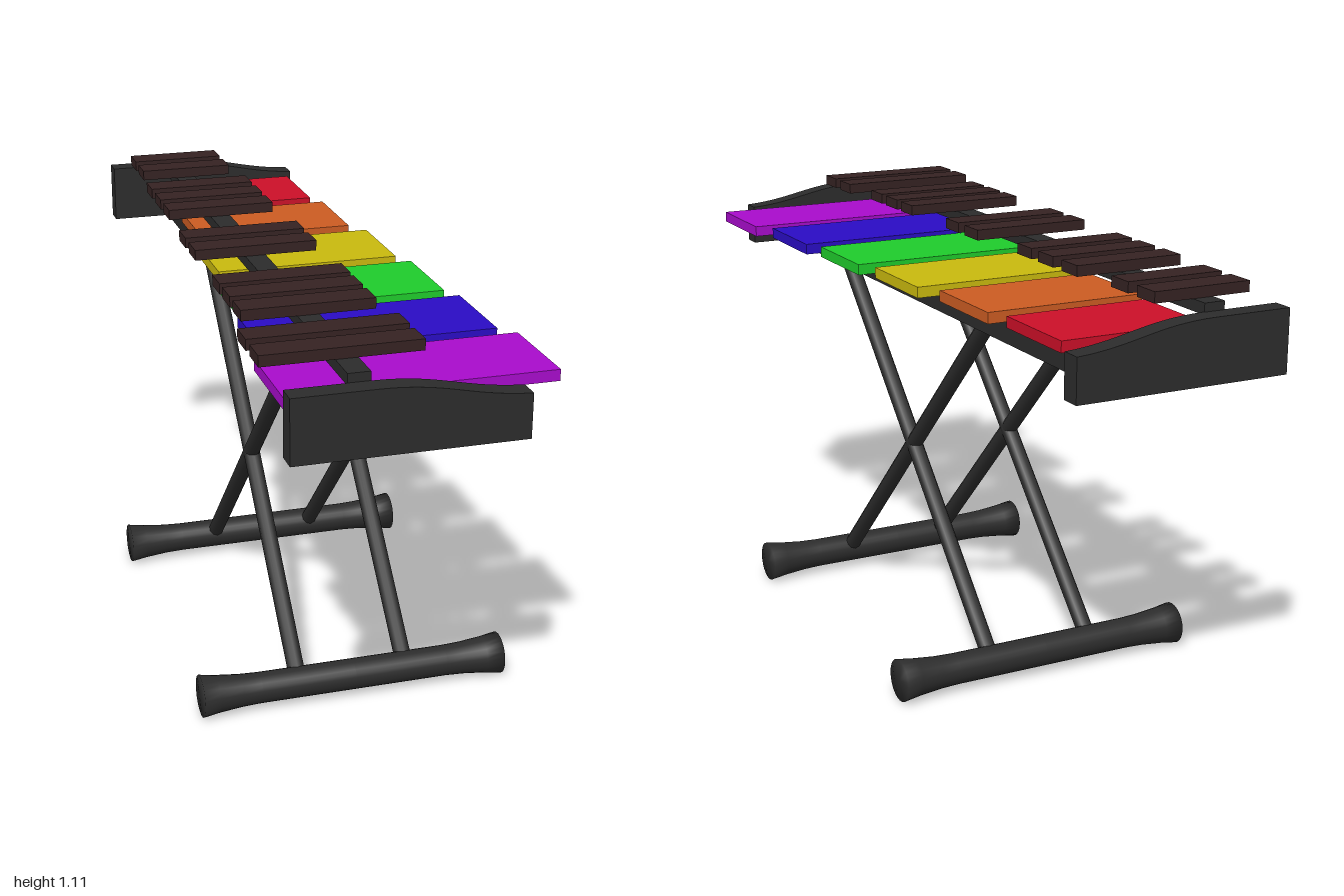
import * as THREE from 'three';

const mat = (name, color) => {
  const m = new THREE.MeshStandardMaterial({ color, side: THREE.DoubleSide });
  m.name = name;
  return m;
};

export function createModel() {
  const model = new THREE.Group();
  const black = mat('black', 0x2c2c2c);
  const darkWood = mat('darkWood', 0x352222);

  const add = (name, geometry, material, parent = model) => {
    const mesh = new THREE.Mesh(geometry, material);
    mesh.name = name;
    parent.add(mesh);
    return mesh;
  };
  // box given by its limits on each axis
  const box = (x0, x1, y0, y1, z0, z1) =>
    new THREE.BoxGeometry(x1 - x0, y1 - y0, z1 - z0)
      .translate((x0 + x1) / 2, (y0 + y1) / 2, (z0 + z1) / 2);

  // end plates with a sloping top edge
  const plate = new THREE.Shape();
  plate.moveTo(-0.315, 0.905);
  plate.lineTo(0.24, 0.905);
  plate.lineTo(0.24, 1.014);
  plate.bezierCurveTo(0.09, 1.022, 0.04, 1.062, -0.12, 1.062);
  plate.lineTo(-0.315, 1.062);
  plate.closePath();
  for (const z of [-1, 0.947]) {
    const geo = new THREE.ExtrudeGeometry(plate, { depth: 0.053, bevelEnabled: false, curveSegments: 14 });
    add('endPlate', geo.translate(0, 0, z), black);
  }

  // lower rails and the raised rail
  for (const x of [-0.144, 0.147]) add('lowerRail', box(x - 0.027, x + 0.027, 0.932, 0.992, -0.95, 0.95), black);
  add('upperRail', box(-0.171, -0.117, 1.055, 1.083, -0.95, 0.945), black);

  // coloured bars, hollow underneath: name, colour, x range, z start
  const bars = [
    ['red', 0xcc1028, -0.165, 0.21, -0.88],
    ['orange', 0xcc5c22, -0.19, 0.233, -0.575],
    ['yellow', 0xc9b90e, -0.22, 0.267, -0.265],
    ['green', 0x1fcc2b, -0.24, 0.292, 0.04],
    ['blue', 0x2a0cc4, -0.26, 0.315, 0.342],
    ['purple', 0xa80ccc, -0.297, 0.35, 0.638],
  ];
  for (const [name, color, x0, x1, z] of bars) {
    const geo = box(x0, x1, 0.99, 1.018, z, z + 0.255);
    const index = Array.from(geo.index.array);
    index.splice(18, 6); // leave the underside open
    geo.setIndex(index);
    geo.clearGroups();
    add(name + 'Bar', geo, mat(name, color));
  }

  // raised dark bars: x range, z centres
  const darkBars = [
    [-0.27, -0.014, [-0.867, -0.755]],
    [-0.287, 0.004, [-0.555, -0.44, -0.332]],
    [-0.302, 0.018, [-0.068, 0.043]],
    [-0.307, 0.022, [0.32, 0.42, 0.522]],
    [-0.345, 0.038, [0.713, 0.82]],
  ];
  for (const [x0, x1, centres] of darkBars)
    for (const z of centres) add('darkBar', box(x0, x1, 1.083, 1.11, z - 0.037, z + 0.037), darkWood);

  // feet: round tubes flared at both ends
  const half = [[0, 0.04], [0.25, 0.04], [0.3, 0.042], [0.36, 0.048], [0.405, 0.055]];
  const profile = [
    new THREE.Vector2(0, -0.405),
    ...half.slice().reverse().map(([x, r]) => new THREE.Vector2(r, -x)),
    ...half.slice(1).map(([x, r]) => new THREE.Vector2(r, x)),
    new THREE.Vector2(0, 0.405),
  ];
  for (const z of [-0.433, 0.48]) {
    const geo = new THREE.LatheGeometry(profile, 24).rotateZ(-Math.PI / 2);
    add('foot', geo, black).position.set(0, 0.055, z);
  }

  // crossed legs
  const up = new THREE.Vector3(0, 1, 0);
  for (const x of [-0.146, 0.144])
    for (const [zFoot, zTop] of [[0.48, -0.41], [-0.433, 0.455]]) {
      const a = new THREE.Vector3(x, 0.055, zFoot);
      const b = new THREE.Vector3(x, 0.95, zTop);
      const leg = add('leg', new THREE.CylinderGeometry(0.022, 0.022, a.distanceTo(b), 10), black);
      leg.position.addVectors(a, b).multiplyScalar(0.5);
      leg.quaternion.setFromUnitVectors(up, b.sub(a).normalize());
    }

  return model;
}
